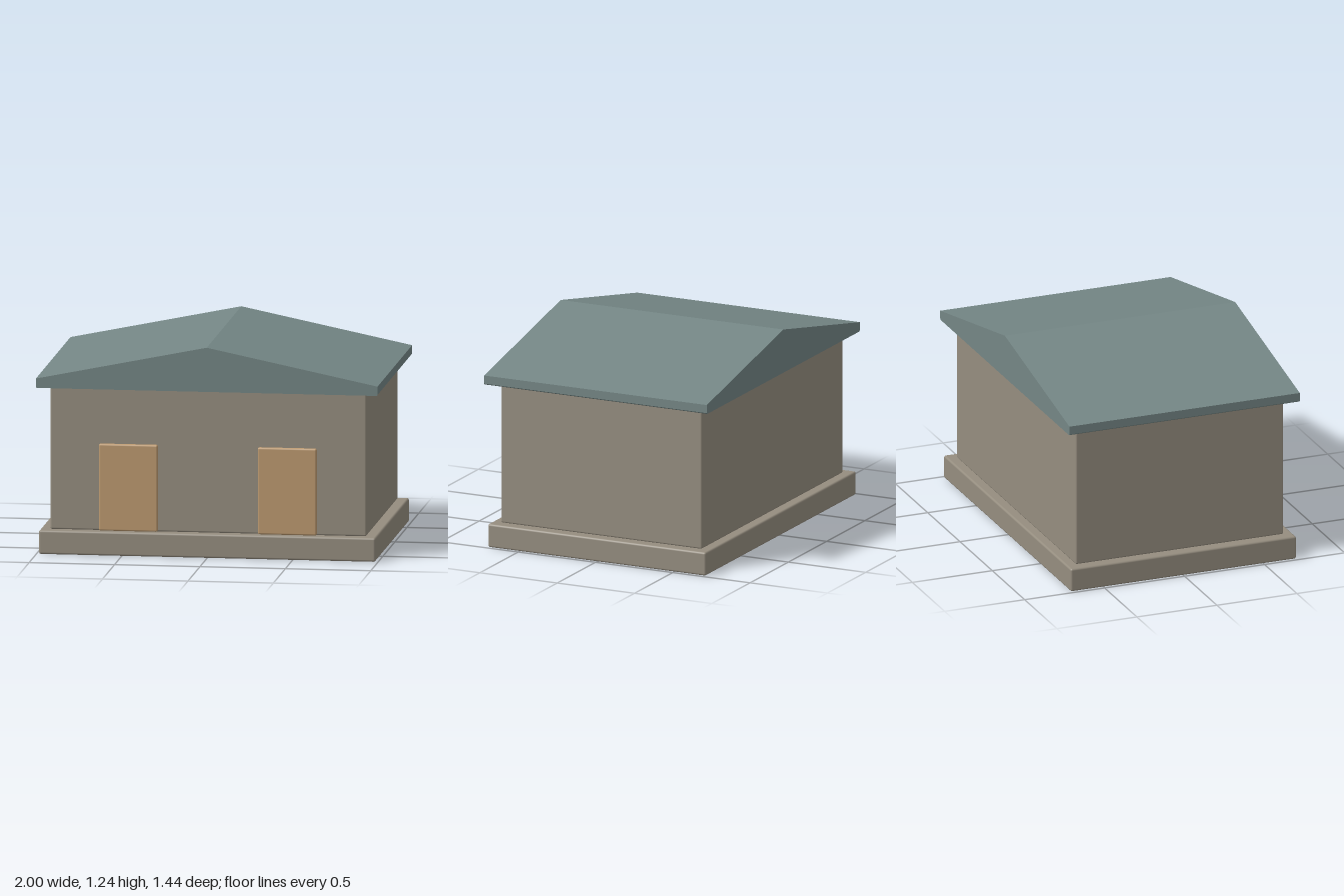
import * as THREE from 'three';
import { RoundedBoxGeometry } from 'three/addons/geometries/RoundedBoxGeometry.js';

export function createModel() {
  const model = new THREE.Group();
  model.name = 'house';

  const stone = new THREE.MeshStandardMaterial({ name: 'stone', color: 0x958d7f });
  const wood = new THREE.MeshStandardMaterial({ name: 'wood', color: 0xbd9a70 });
  const slate = new THREE.MeshStandardMaterial({ name: 'slate', color: 0x748685 });

  // Box with softened edges, placed by its bottom height
  function block(name, material, [w, h, d], [x, bottom, z], radius) {
    const mesh = new THREE.Mesh(new RoundedBoxGeometry(w, h, d, 2, radius), material);
    mesh.name = name;
    mesh.position.set(x, bottom + h / 2, z);
    model.add(mesh);
  }

  // Plinth and walls
  block('plinth', stone, [1.97, 0.14, 1.41], [0, 0, 0], 0.012);
  block('walls', stone, [1.85, 0.838, 1.3], [0, 0.14, 0], 0.01);

  // Pair of front doors, standing just proud of the wall
  for (const side of [1, -1]) {
    block(side > 0 ? 'leftDoor' : 'rightDoor', wood,
      [0.344, 0.51, 0.03], [side * 0.465, 0.143, 0.67], 0.01);
  }

  // Low gabled roof with upright eaves, ridge running front to back
  const eave = 0.98, eaveTop = 1.035, ridge = 1.24, depth = 1.44;
  const gable = new THREE.Shape([
    [-0.994, eave], [0.994, eave], [1, eave + 0.006], [1, eaveTop],
    [0, ridge], [-1, eaveTop], [-1, eave + 0.006],
  ].map(([x, y]) => new THREE.Vector2(x, y)));
  const roof = new THREE.Mesh(
    new THREE.ExtrudeGeometry(gable, { depth, bevelEnabled: false }), slate);
  roof.name = 'roof';
  roof.position.z = -depth / 2;
  model.add(roof);

  return model;
}
